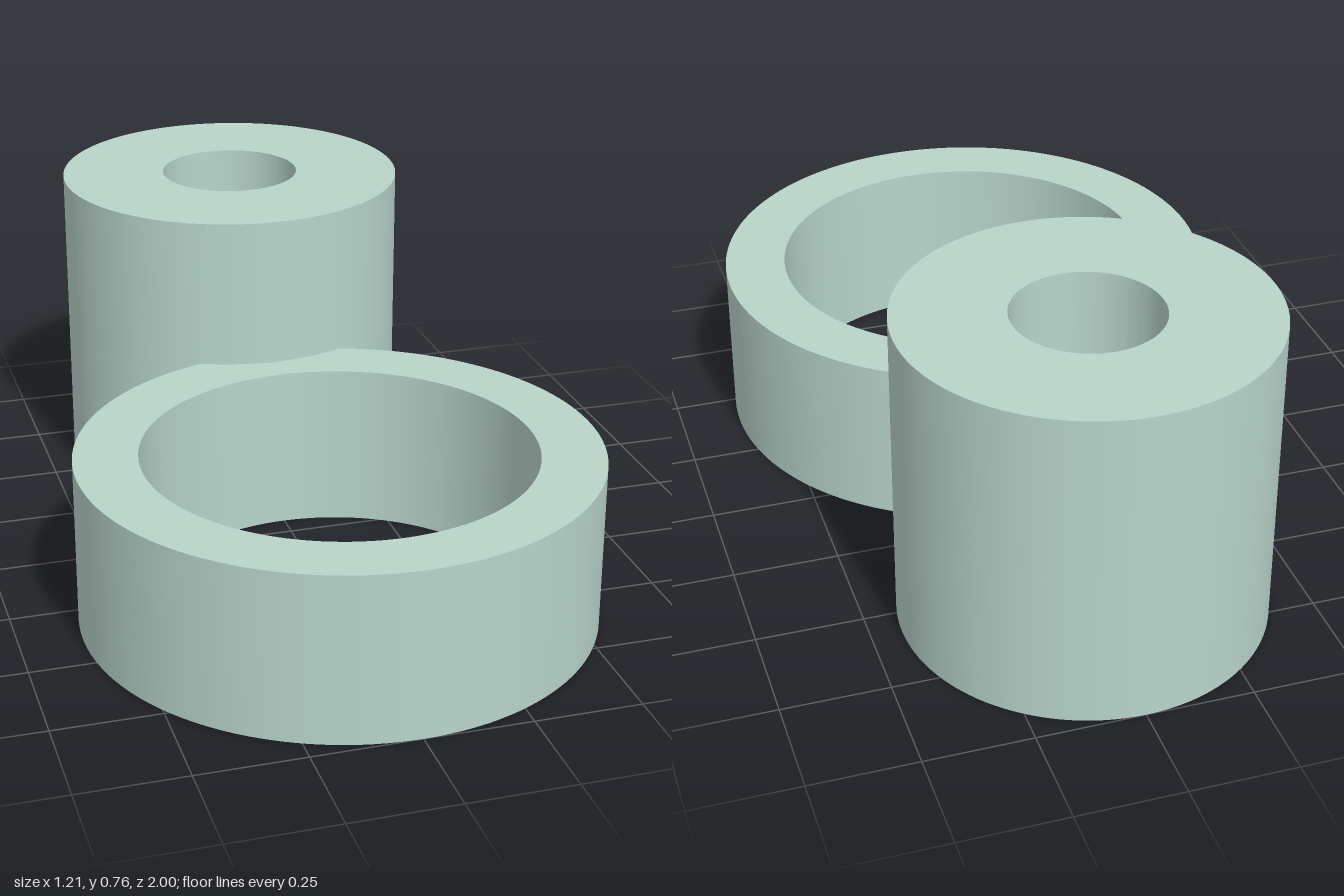
import * as THREE from 'three';
import { toCreasedNormals } from 'three/addons/utils/BufferGeometryUtils.js';

const material = new THREE.MeshStandardMaterial({ color: 0xb8d4ca });

// Plan outlines use shape y = -z
const RING = { y: -0.395, r: 0.605, bore: 0.456, height: 0.4 };
const POST = { y: 0.572, r: 0.428, height: 0.765 };
const COUNTERBORE = { y: 0.573, r: 0.172, floor: 0.38 };
const THROUGH_HOLE = { y: 0.537, r: 0.124 };

function disc({ y, r }) {
  return new THREE.Shape().absarc(0, y, r, 0, Math.PI * 2, false);
}

function hole(y, r) {
  return new THREE.Path().absarc(0, y, r, 0, Math.PI * 2, true);
}

// Stands a plan outline up between two heights, with smooth round walls
function extrudeUp(name, shape, y0, y1) {
  const flat = new THREE.ExtrudeGeometry(shape, {
    depth: y1 - y0, bevelEnabled: false, curveSegments: 64,
  });
  flat.rotateX(-Math.PI / 2);
  flat.translate(0, y0, 0);
  const mesh = new THREE.Mesh(toCreasedNormals(flat, Math.PI / 6), material);
  mesh.name = name;
  return mesh;
}

// Ring outline with a notch where the post passes through its rim
function ringShape() {
  const d = POST.y - RING.y;
  const along = (d * d + RING.r ** 2 - POST.r ** 2) / (2 * d);
  const half = Math.sqrt(RING.r ** 2 - along ** 2);
  const a = Math.asin(half / RING.r);
  const b = Math.asin(half / POST.r);
  const up = Math.PI / 2;
  const shape = new THREE.Shape();
  shape.absarc(0, RING.y, RING.r, up + a, up - a + Math.PI * 2, false);
  shape.absarc(0, POST.y, POST.r, -up + b, -up - b, true);
  shape.holes.push(hole(RING.y, RING.bore));
  return shape;
}

export function createModel() {
  const model = new THREE.Group();
  model.name = 'ringAndPost';

  // Low open ring at the front
  model.add(extrudeUp('ring', ringShape(), 0, RING.height));

  // Tall post at the back: small offset hole below, wide counterbore above
  const post = new THREE.Group();
  post.name = 'post';
  const lower = disc(POST);
  lower.holes.push(hole(THROUGH_HOLE.y, THROUGH_HOLE.r));
  const upper = disc(POST);
  upper.holes.push(hole(COUNTERBORE.y, COUNTERBORE.r));
  post.add(
    extrudeUp('postLower', lower, 0, COUNTERBORE.floor),
    extrudeUp('postUpper', upper, COUNTERBORE.floor, POST.height),
  );
  model.add(post);
  return model;
}
